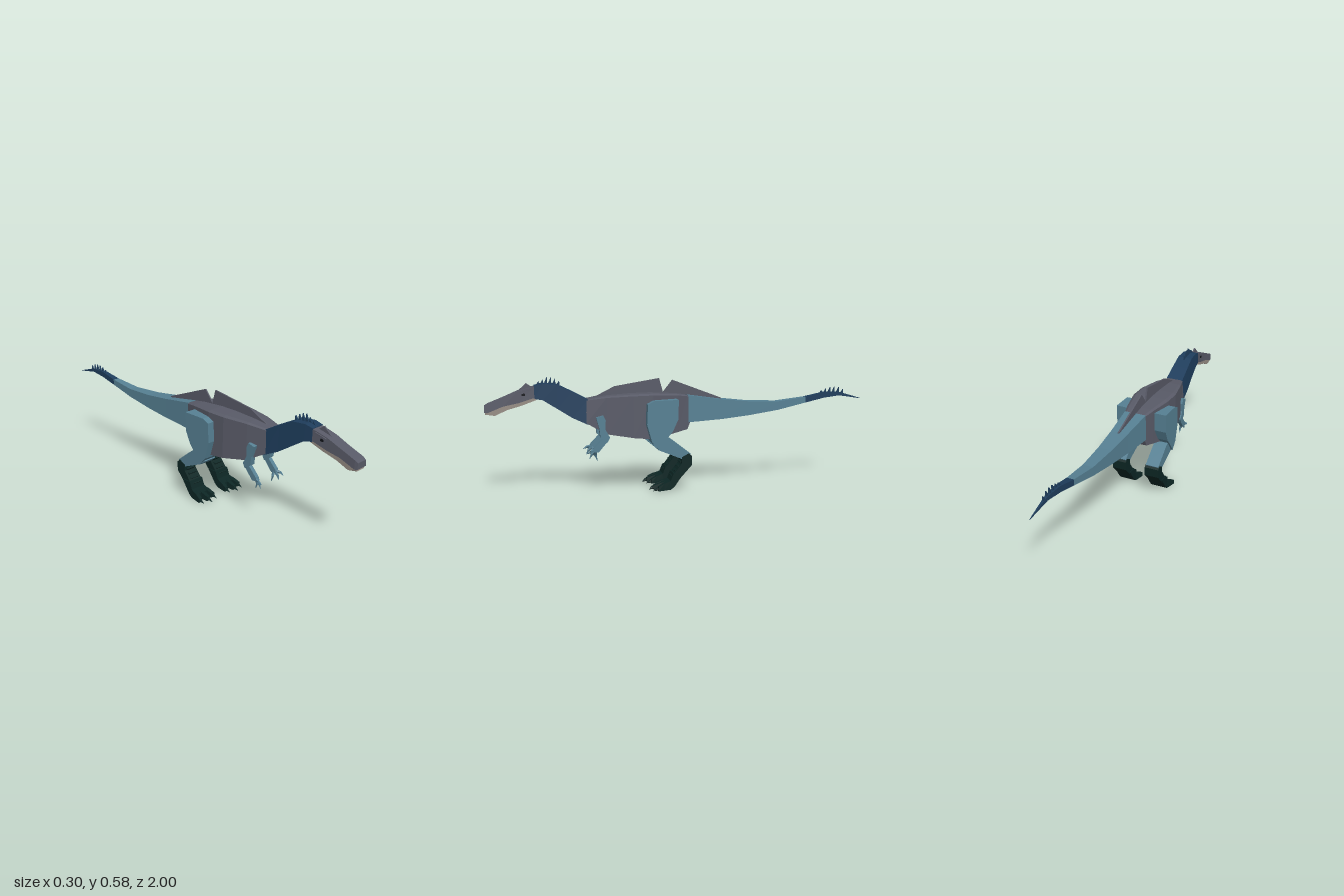
import * as THREE from 'three';

const mat = (name, color) => {
  const m = new THREE.MeshStandardMaterial({ color, flatShading: true });
  m.name = name;
  return m;
};

// Box-like loft; sections run front to back: [z, top, bottom, halfTop, halfBottom, centreX, bevel]
function loft(sections) {
  const rings = sections.map(([z, t, b, ht, hb, cx = 0, bev = 0]) => {
    const side = ht + (hb - ht) * 0.1;
    return [[hb, b], [side, t - bev], [ht - bev * 2, t], [bev * 2 - ht, t], [-side, t - bev], [-hb, b]]
      .map(([x, y]) => new THREE.Vector3(x + cx, y, z));
  });
  const pts = [];
  const n = 6;
  for (let s = 0; s < rings.length - 1; s++) {
    const f = rings[s], k = rings[s + 1];
    for (let i = 0; i < n; i++) {
      const j = (i + 1) % n;
      pts.push(f[i], k[i], k[j], f[i], k[j], f[j]);
    }
  }
  const first = rings[0], last = rings[rings.length - 1];
  for (let i = 1; i < n - 1; i++) {
    pts.push(first[0], first[i], first[i + 1], last[0], last[i + 1], last[i]);
  }
  const g = new THREE.BufferGeometry().setFromPoints(pts);
  g.computeVertexNormals();
  return g;
}

// Side outline given as [z, y], extruded across x from x0 to x1
function slab(outline, x0, x1) {
  const shape = new THREE.Shape(outline.map(([z, y]) => new THREE.Vector2(z, y)));
  const g = new THREE.ExtrudeGeometry(shape, { depth: Math.abs(x1 - x0), bevelEnabled: false });
  g.rotateY(-Math.PI / 2);
  g.translate(Math.max(x0, x1), 0, 0);
  return g;
}

// Tapered rod between two points
function rod(a, b, r0, r1, sides = 5) {
  const p = new THREE.Vector3(...a), q = new THREE.Vector3(...b);
  const d = q.clone().sub(p);
  const g = new THREE.CylinderGeometry(r1, r0, d.length(), sides);
  g.applyQuaternion(new THREE.Quaternion().setFromUnitVectors(new THREE.Vector3(0, 1, 0), d.normalize()));
  const c = p.add(q).multiplyScalar(0.5);
  g.translate(c.x, c.y, c.z);
  return g;
}

export function createModel() {
  const root = new THREE.Group();
  const grey = mat('greyHide', 0x585a67);
  const teal = mat('tealHide', 0x568093);
  const navy = mat('navyHide', 0x1e3d5c);
  const green = mat('darkGreenScales', 0x0c2624);
  const tan = mat('paleJaw', 0x9f958c);
  const black = mat('eyeBlack', 0x101318);
  const add = (name, geo, m, parent = root) => {
    const mesh = new THREE.Mesh(geo, m);
    mesh.name = name;
    parent.add(mesh);
    return mesh;
  };

  // Torso
  add('torso', loft([
    [0.51, 0.462, 0.345, 0.045, 0.055, 0, 0.004],
    [0.41, 0.478, 0.29, 0.074, 0.078, 0, 0.006],
    [0.28, 0.487, 0.27, 0.1, 0.104, 0, 0.008],
    [0.18, 0.489, 0.26, 0.1, 0.103, 0, 0.008],
    [0.05, 0.482, 0.288, 0.074, 0.075, 0, 0.006],
    [-0.005, 0.474, 0.3, 0.06, 0.062, 0, 0.005],
    [-0.02, 0.47, 0.335, 0.056, 0.058, 0, 0.005],
  ]), grey);

  // Notched back sail
  add('frontSail', slab([[0.48, 0.45], [0.1, 0.46], [0.11, 0.488], [0.13, 0.56], [0.36, 0.523], [0.47, 0.468]], -0.004, 0.004), grey);
  add('rearSail', slab([[0.12, 0.46], [-0.2, 0.43], [-0.2, 0.452], [0.06, 0.55], [0.11, 0.488]], -0.004, 0.004), grey);

  // Tail and its dark tip
  add('tail', loft([
    [-0.01, 0.474, 0.335, 0.058, 0.062],
    [-0.19, 0.448, 0.344, 0.045, 0.048],
    [-0.34, 0.432, 0.358, 0.036, 0.038],
    [-0.51, 0.426, 0.381, 0.027, 0.028],
    [-0.67, 0.445, 0.415, 0.018, 0.019],
  ]), teal);
  add('tailTip', loft([
    [-0.67, 0.445, 0.415, 0.018, 0.019],
    [-0.78, 0.468, 0.438, 0.012, 0.013],
    [-0.87, 0.467, 0.448, 0.007, 0.008],
    [-1, 0.43, 0.428, 0.001, 0.001],
  ]), navy);

  // Neck
  add('neck', loft([
    [0.76, 0.535, 0.472, 0.036, 0.038],
    [0.72, 0.545, 0.465, 0.038, 0.042],
    [0.65, 0.54, 0.42, 0.04, 0.045],
    [0.58, 0.505, 0.375, 0.043, 0.05],
    [0.5, 0.463, 0.337, 0.046, 0.055],
  ]), navy);

  // Spines on the nape and the tail
  const spine = (z, y, h, i) =>
    add('spine' + i, slab([[z + 0.012, y - 0.015], [z - 0.009, y + h], [z - 0.012, y - 0.015]], -0.004, 0.004), navy);
  [0.745, 0.725, 0.705, 0.685, 0.665, 0.645].forEach((z, i) =>
    spine(z, 0.542, [0.015, 0.024, 0.036, 0.034, 0.025, 0.014][i], i));
  [-0.76, -0.785, -0.81, -0.835, -0.86, -0.885].forEach((z, i) =>
    spine(z, 0.466 - i * 0.001, [0.012, 0.022, 0.03, 0.033, 0.03, 0.02][i], i + 6));

  // Head, jaw, crest
  add('head', loft([
    [1, 0.44, 0.41, 0.028, 0.032],
    [0.985, 0.45, 0.408, 0.031, 0.033],
    [0.91, 0.48, 0.438, 0.031, 0.033],
    [0.84, 0.51, 0.452, 0.033, 0.034],
    [0.755, 0.533, 0.478, 0.035, 0.037],
  ]), grey);
  add('jaw', loft([
    [0.995, 0.412, 0.4, 0.03, 0.026],
    [0.95, 0.424, 0.393, 0.031, 0.027],
    [0.89, 0.448, 0.42, 0.031, 0.028],
    [0.82, 0.462, 0.44, 0.033, 0.03],
    [0.75, 0.482, 0.466, 0.035, 0.033],
  ]), tan);
  add('crest', slab([[0.85, 0.5], [0.797, 0.547], [0.765, 0.525], [0.765, 0.5]], -0.004, 0.004), grey);

  const claw = (name, a, b, r, m, parent) => add(name, rod(a, b, r, 0.001), m, parent);

  for (const s of [1, -1]) {
    const side = s > 0 ? 'left' : 'right';

    // Eye and brow
    add(side + 'Eye', slab([[0.82, 0.487], [0.82, 0.497], [0.806, 0.5], [0.803, 0.488]], s * 0.03, s * 0.0375), black);
    add(side + 'Brow', slab([[0.835, 0.501], [0.835, 0.507], [0.775, 0.523], [0.775, 0.515]], s * 0.028, s * 0.04), grey);

    // Arm with three fingers
    const arm = new THREE.Group();
    arm.name = side + 'Arm';
    root.add(arm);
    add('upperArm', slab([
      [0.465, 0.375], [0.43, 0.386], [0.418, 0.36], [0.42, 0.315], [0.398, 0.275],
      [0.41, 0.25], [0.445, 0.275], [0.45, 0.32],
    ], s * 0.056, s * 0.085), teal, arm);
    add('forearm', slab([[0.415, 0.288], [0.398, 0.268], [0.455, 0.2], [0.485, 0.203], [0.478, 0.222]], s * 0.06, s * 0.081), teal, arm);
    [[0.08, 0.515, 0.195], [0.068, 0.5, 0.168], [0.057, 0.46, 0.155]].forEach(([x, z, y], i) => {
      const mid = [s * x, (0.21 + y) / 2 + 0.003, (0.47 + z) / 2 + 0.003];
      add('finger' + i, rod([s * 0.07, 0.212, 0.468], mid, 0.009, 0.007), teal, arm);
      claw('fingerTip' + i, mid, [s * x, y, z], 0.007, teal, arm);
    });

    // Thigh and shin
    const leg = new THREE.Group();
    leg.name = side + 'Leg';
    root.add(leg);
    add('thigh', slab([
      [0.215, 0.44], [0.18, 0.457], [0.058, 0.46], [0.062, 0.36], [0.09, 0.3],
      [0.125, 0.26], [0.16, 0.21], [0.195, 0.25], [0.22, 0.34],
    ], s * 0.05, s * 0.14), teal, leg);
    add('shin', slab([
      [0.185, 0.23], [0.13, 0.285], [0.085, 0.255], [-0.005, 0.185], [0.01, 0.155], [0.04, 0.158], [0.16, 0.208],
    ], s * 0.058, s * 0.13), teal, leg);

    // Scaly ankle and foot
    add('ankle', slab([
      [0.04, 0.168], [0.005, 0.186], [-0.012, 0.172], [-0.01, 0.125], [0.05, 0.06], [0.085, 0.08], [0.042, 0.135],
    ], s * 0.055, s * 0.133), green, leg);
    add('instep', slab([
      [0.085, 0.088], [0.03, 0.09], [0.08, 0.02], [0.1, 0.004], [0.14, 0.004], [0.135, 0.035], [0.1, 0.05],
    ], s * 0.05, s * 0.138), green, leg);
    // Raised scale bands on the shank
    [[0.045, 0.14], [0.058, 0.118], [0.072, 0.096], [0.09, 0.072]].forEach(([z, y], i) => {
      const band = add('scaleBand' + i, new THREE.BoxGeometry(0.05, 0.014, 0.012), green, leg);
      band.position.set(s * 0.094, y, z - 0.005);
      band.rotation.x = 0.6;
    });
    // Three splayed toes with claws
    [[0.062, 0.05, 0.185], [0.095, 0.096, 0.2], [0.126, 0.14, 0.185]].forEach(([x0, x1, zt], i) => {
      add('toe' + i, loft([
        [zt - 0.02, 0.024, 0.002, 0.009, 0.012, s * x1],
        [0.135, 0.038, 0.003, 0.01, 0.013, s * (x0 + x1) / 2],
        [0.1, 0.048, 0.006, 0.011, 0.014, s * x0],
      ]), green, leg);
      claw('toeClaw' + i, [s * x1, 0.014, zt - 0.024], [s * x1, 0.003, zt + 0.005], 0.009, green, leg);
    });
  }
  return root;
}
